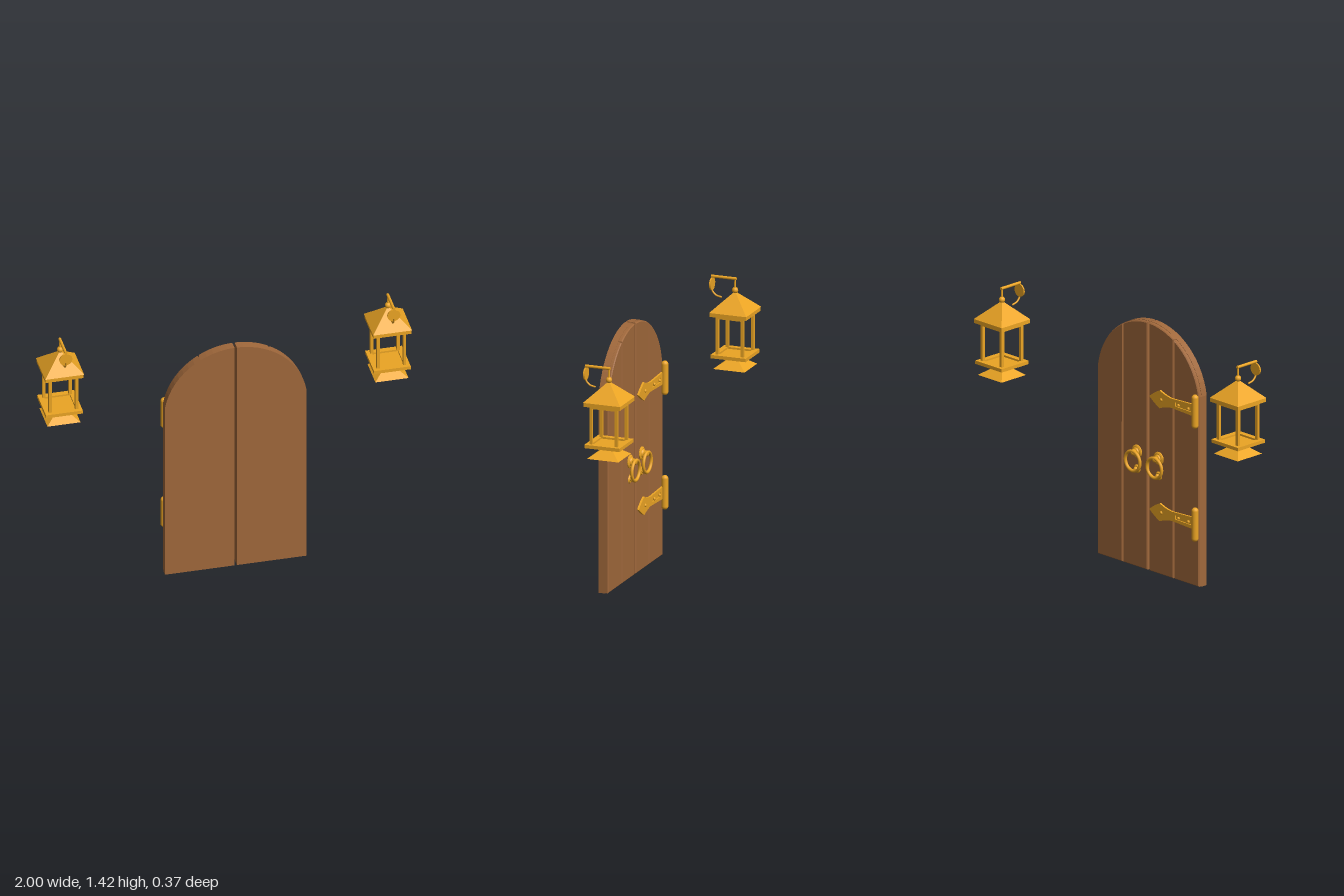
import * as THREE from 'three';

const wood = new THREE.MeshStandardMaterial({ color: 0xa0683b });
const gold = new THREE.MeshStandardMaterial({ color: 0xeca524 });
const goldFlat = new THREE.MeshStandardMaterial({ color: 0xeca524, flatShading: true, side: THREE.DoubleSide });

function add(parent, name, geometry, material, x = 0, y = 0, z = 0) {
  const mesh = new THREE.Mesh(geometry, material);
  mesh.name = name;
  mesh.position.set(x, y, z);
  parent.add(mesh);
  return mesh;
}

// Upright strip of the arched door between two x values (x0 < x1, both positive), mirrored by side
function doorStrip(x0, x1, side, inset = 0) {
  const R = 0.39 - inset, springY = 1.0;
  const a1 = Math.acos(x1 / R), a0 = Math.acos(x0 / R);
  const pts = [new THREE.Vector2(side * x0, inset), new THREE.Vector2(side * x1, inset)];
  const n = 14;
  for (let i = 0; i <= n; i++) {
    const a = a1 + (a0 - a1) * i / n;
    pts.push(new THREE.Vector2(side * R * Math.cos(a), springY + R * Math.sin(a)));
  }
  return new THREE.Shape(pts);
}

function doorLeaf(side) {
  const leaf = new THREE.Group();
  leaf.name = side > 0 ? 'leftDoorLeaf' : 'rightDoorLeaf';
  // Smooth front board
  add(leaf, 'frontBoard', new THREE.ExtrudeGeometry(doorStrip(0.006, 0.385, side),
    { depth: 0.037, bevelEnabled: false }), wood, 0, 0, 0.15);
  // Bevelled planks on the back
  for (const [a, b] of [[0.007, 0.189], [0.195, 0.383]]) {
    const bevel = 0.005;
    add(leaf, 'backPlank', new THREE.ExtrudeGeometry(doorStrip(a, b, side, 0.002), {
      depth: 0.02, bevelEnabled: true, bevelSize: bevel, bevelThickness: bevel,
      bevelOffset: -bevel, bevelSegments: 1,
    }), wood, 0, 0, 0.135);
  }
  return leaf;
}

function ringHandle(x) {
  const g = new THREE.Group();
  g.name = 'ringHandle';
  g.position.x = x;
  // Stepped rosette turned around z, facing the back
  const profile = [[0, 0], [0.036, 0], [0.036, 0.006], [0.028, 0.011], [0.024, 0.011],
    [0.02, 0.018], [0.012, 0.022], [0.01, 0.032], [0, 0.032]].map(p => new THREE.Vector2(...p));
  add(g, 'rosette', new THREE.LatheGeometry(profile, 24), goldFlat, 0, 0.648, 0.131).rotation.x = -Math.PI / 2;
  add(g, 'knob', new THREE.SphereGeometry(0.017, 16, 12), gold, 0, 0.648, 0.103);
  add(g, 'ring', new THREE.TorusGeometry(0.055, 0.009, 10, 32), gold, 0, 0.601, 0.096);
  add(g, 'strikerBase', new THREE.CylinderGeometry(0.018, 0.025, 0.008, 20), gold, 0, 0.55, 0.127).rotation.x = -Math.PI / 2;
  add(g, 'striker', new THREE.SphereGeometry(0.013, 14, 10), gold, 0, 0.55, 0.119);
  return g;
}

function hinge(y) {
  const g = new THREE.Group();
  g.name = 'strapHinge';
  g.position.y = y;
  // Strap with a spearhead end and a slot
  const s = new THREE.Shape();
  s.moveTo(-0.372, -0.034);
  s.lineTo(-0.19, -0.026);
  s.quadraticCurveTo(-0.14, -0.03, -0.1, -0.05);
  s.quadraticCurveTo(-0.07, -0.04, -0.02, 0);
  s.quadraticCurveTo(-0.07, 0.04, -0.1, 0.05);
  s.quadraticCurveTo(-0.14, 0.03, -0.19, 0.026);
  s.lineTo(-0.372, 0.034);
  const slot = new THREE.Path();
  slot.moveTo(-0.335, -0.013);
  slot.lineTo(-0.335, 0.013);
  slot.lineTo(-0.215, 0.011);
  slot.lineTo(-0.215, -0.011);
  s.holes.push(slot);
  add(g, 'strap', new THREE.ExtrudeGeometry(s, { depth: 0.012, bevelEnabled: false }), gold, 0, 0, 0.119);
  add(g, 'slotFloor', new THREE.BoxGeometry(0.13, 0.03, 0.005), gold, -0.275, 0, 0.128);
  for (const x of [-0.11, -0.24, -0.315]) {
    const bolt = add(g, 'bolt', new THREE.SphereGeometry(0.009, 12, 8), gold, x, 0, 0.119);
    bolt.scale.z = 0.8;
  }
  add(g, 'barrel', new THREE.CapsuleGeometry(0.019, 0.152, 6, 16), gold, -0.372, 0, 0.113);
  return g;
}

// Square plate with a square opening, lying flat
function squareFrame(outer, inner, height) {
  const square = (Type, h) => new Type([[-h, -h], [h, -h], [h, h], [-h, h]].map(p => new THREE.Vector2(...p)));
  const s = square(THREE.Shape, outer);
  s.holes.push(square(THREE.Path, inner));
  return new THREE.ExtrudeGeometry(s, { depth: height, bevelEnabled: false }).rotateX(-Math.PI / 2);
}

function pyramid(half, height, open) {
  return new THREE.ConeGeometry(half * Math.SQRT2, height, 4, 1, open).rotateY(Math.PI / 4);
}

function lantern(side) {
  const g = new THREE.Group();
  g.name = side > 0 ? 'leftLantern' : 'rightLantern';
  g.position.set(side * 0.892, 0, -0.078);

  // Roof and cage
  add(g, 'roof', pyramid(0.106, 0.103, true), goldFlat, 0, 1.2885, 0);
  add(g, 'roofPlate', squareFrame(0.104, 0.07, 0.023), gold, 0, 1.215, 0);
  add(g, 'topRail', squareFrame(0.08, 0.064, 0.016), gold, 0, 1.2, 0);
  for (const x of [-1, 1]) for (const z of [-1, 1]) {
    add(g, 'post', new THREE.BoxGeometry(0.016, 0.215, 0.016), gold, x * 0.072, 1.11, z * 0.072);
  }
  add(g, 'baseRim', squareFrame(0.1, 0.07, 0.019), gold, 0, 0.986, 0);
  add(g, 'baseFloor', new THREE.BoxGeometry(0.15, 0.008, 0.15), gold, 0, 0.991, 0);

  // Skirt and drop below
  add(g, 'skirt', pyramid(0.09, 0.065, false), goldFlat, 0, 0.9575, 0);
  add(g, 'drop', new THREE.SphereGeometry(0.016, 14, 10), gold, 0, 0.914, 0);

  // Finial, hanging rod and wall bracket
  add(g, 'finial', new THREE.SphereGeometry(0.017, 14, 10), gold, 0, 1.346, 0);
  add(g, 'rod', new THREE.CylinderGeometry(0.004, 0.006, 0.06, 10), gold, 0, 1.38, 0);
  add(g, 'arm', new THREE.CylinderGeometry(0.008, 0.008, 0.142, 12), gold, 0, 1.409, 0.064).rotation.x = Math.PI / 2;
  add(g, 'wallDisc', new THREE.CylinderGeometry(0.035, 0.035, 0.008, 24), gold, 0, 1.367, 0.131).rotation.x = Math.PI / 2;
  const curl = new THREE.CatmullRomCurve3([[1.35, 0.137], [1.326, 0.128], [1.307, 0.11], [1.299, 0.08]]
    .map(([y, z]) => new THREE.Vector3(0, y, z)));
  add(g, 'curl', new THREE.TubeGeometry(curl, 16, 0.005, 8), gold);
  add(g, 'curlEnd', new THREE.SphereGeometry(0.005, 8, 6), gold, 0, 1.299, 0.08);
  return g;
}

export function createModel() {
  const model = new THREE.Group();
  model.name = 'archedDoorWithLanterns';
  for (const side of [-1, 1]) {
    model.add(doorLeaf(side), ringHandle(side * 0.082), lantern(side));
  }
  model.add(hinge(0.985), hinge(0.353));
  return model;
}
